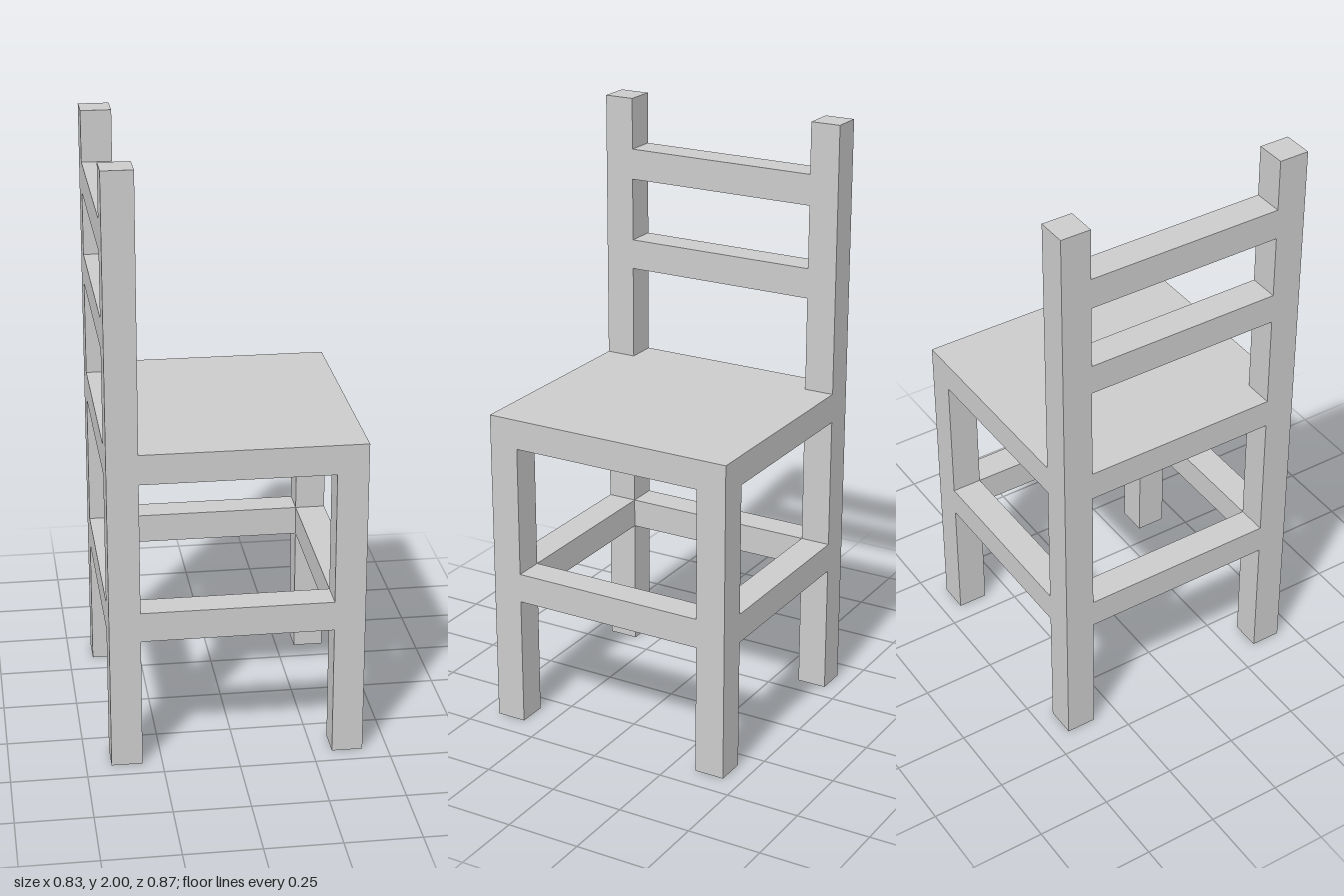
import * as THREE from 'three';

const X = 0.417, Z = 0.437, T = 0.102; // half width, half depth, timber thickness
const XI = X - T, ZI = Z - T;          // inner faces of the legs
const SEAT_Y = 0.99, SEAT_TOP = 1.09;

export function createModel() {
  const chair = new THREE.Group();
  chair.name = 'chair';
  const material = new THREE.MeshStandardMaterial({ color: 0xcccccc, flatShading: true });

  // Box spanning two opposite corners
  function addBox(name, [x0, y0, z0], [x1, y1, z1]) {
    const mesh = new THREE.Mesh(new THREE.BoxGeometry(x1 - x0, y1 - y0, z1 - z0), material);
    mesh.position.set((x0 + x1) / 2, (y0 + y1) / 2, (z0 + z1) / 2);
    mesh.name = name;
    chair.add(mesh);
  }

  // Legs, tall back posts and side stretchers, mirrored in z
  for (const side of [-1, 1]) {
    const z0 = side < 0 ? -Z : ZI, z1 = z0 + T;
    const suffix = side < 0 ? 'A' : 'B';
    addBox('backPost' + suffix, [-X, 0, z0], [-XI, 2, z1]);
    addBox('shortLeg' + suffix, [XI, 0, z0], [X, SEAT_Y, z1]);
    addBox('sideStretcher' + suffix, [-XI, 0.445, z0], [XI, 0.545, z1]);
  }

  // Seat slab, with its rear strip filling the gap between the back posts
  addBox('seat', [-XI, SEAT_Y, -Z], [X, SEAT_TOP, Z]);
  addBox('seatRearStrip', [-X, SEAT_Y, -ZI], [-XI, SEAT_TOP, ZI]);

  // Cross stretchers between the legs
  addBox('legStretcher', [XI, 0.445, -ZI], [X, 0.545, ZI]);
  addBox('postStretcher', [-X, 0.445, -ZI], [-XI, 0.545, ZI]);

  // Backrest slats
  addBox('lowerSlat', [-X, 1.408, -ZI], [-XI, 1.51, ZI]);
  addBox('upperSlat', [-X, 1.723, -ZI], [-XI, 1.827, ZI]);

  return chair;
}
